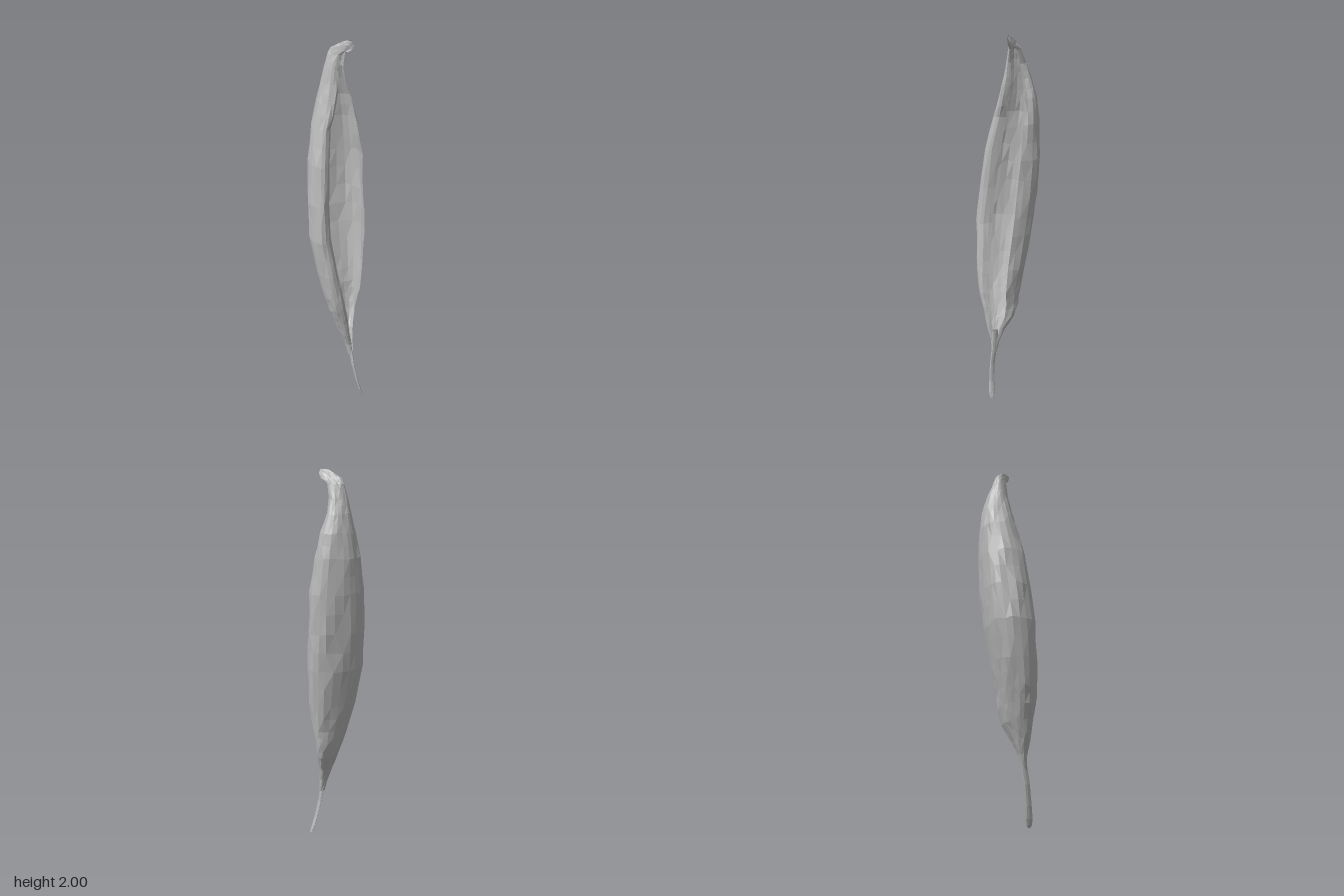
import * as THREE from 'three';

// Blade levels: y, xMin, xMax, zMin, zMax, how far the front flap closes over (0..1)
const bladeRows = [
  [0.27, 0.072, 0.098, 0.036, 0.062, 0.9],
  [0.34, 0.052, 0.092, 0.022, 0.068, 0.9],
  [0.41, 0.026, 0.088, -0.004, 0.090, 0.9],
  [0.50, -0.008, 0.085, -0.052, 0.112, 0.85],
  [0.58, -0.035, 0.092, -0.073, 0.136, 0.65],
  [0.66, -0.062, 0.110, -0.080, 0.150, 0.42],
  [0.80, -0.102, 0.122, -0.104, 0.162, 0.2],
  [1.00, -0.144, 0.122, -0.134, 0.168, 0.04],
  [1.20, -0.158, 0.108, -0.154, 0.152, 0.03],
  [1.40, -0.157, 0.093, -0.165, 0.124, 0.05],
  [1.58, -0.150, 0.064, -0.157, 0.078, 0.1],
  [1.70, -0.126, 0.032, -0.142, 0.044, 0.45],
  [1.79, -0.104, 0.004, -0.114, 0.020, 0.8],
  [1.86, -0.086, 0.000, -0.086, 0.008, 0.8],
  [1.93, -0.067, 0.014, -0.064, -0.006, 0.7],
  [1.955, -0.050, 0.052, -0.047, -0.010, 0.6],
  [1.98, -0.014, 0.066, -0.034, -0.012, 0.6],
  [2.00, 0.034, 0.060, -0.024, -0.016, 0.6],
];

const stemRows = [
  [0.00, 0.151, 0.157, 0.040, 0.046, 0],
  [0.012, 0.141, 0.158, 0.034, 0.056, 0],
  [0.04, 0.129, 0.153, 0.034, 0.064, 0],
  [0.10, 0.113, 0.136, 0.043, 0.067, 0],
  [0.20, 0.090, 0.114, 0.046, 0.068, 0],
  [0.30, 0.070, 0.097, 0.034, 0.061, 0],
  [0.40, 0.058, 0.086, 0.032, 0.060, 0],
];

// Curled section in a -1..1 box: front rim, flap, left side, back, back rim
const curl = (c) => [
  [c - 0.1, 0.42], [c + 0.05, 0.76], [-0.14 + 0.5 * c, 1], [-0.64, 0.82], [-0.97, 0.3],
  [-0.95, -0.16], [-0.6, -0.6], [0.08, -1], [0.66, -0.94], [1, -0.5],
];
// Flattened stem section, wide along the x = z diagonal
const strip = () => Array.from({ length: 9 }, (_, i) => {
  const a = (i / 8) * Math.PI * 2;
  return [Math.cos(a - 0.35), Math.cos(a + 0.35)];
});

// Small seeded noise for dry, uneven facets
let seed = 11;
const noise = () => {
  seed = (seed * 16807) % 2147483647;
  return seed / 2147483647 - 0.5;
};

// Skin a sheet through the section fitted into each level's box
function sheet(rows, section, columns, steps, wrinkle) {
  const position = [], index = [];
  const levels = (rows.length - 1) * steps;
  for (let i = 0; i <= levels; i++) {
    const k = Math.min(Math.floor(i / steps), rows.length - 2);
    const t = i / steps - k;
    const [y, x0, x1, z0, z1, c] = rows[k].map((v, n) => v + (rows[k + 1][n] - v) * t);
    const curve = new THREE.SplineCurve(section(c).map((p) => new THREE.Vector2(...p)));
    for (let j = 0; j <= columns; j++) {
      const p = curve.getPoint(j / columns);
      // shallow slanting creases
      const fold = 1 + wrinkle * (Math.sin(j * 1.9 + y * 16) * 0.5 + noise());
      const lift = i > 0 && i < levels ? noise() * wrinkle * 0.3 : 0;
      position.push(
        (x0 + x1) / 2 + (p.x * fold * (x1 - x0)) / 2,
        y + lift,
        (z0 + z1) / 2 + (p.y * fold * (z1 - z0)) / 2,
      );
      if (i < levels && j < columns) {
        const a = i * (columns + 1) + j, b = a + columns + 1;
        if ((i + j) % 2) index.push(a, a + 1, b, a + 1, b + 1, b);
        else index.push(a, a + 1, b + 1, a, b + 1, b);
      }
    }
  }
  const geometry = new THREE.BufferGeometry();
  geometry.setAttribute('position', new THREE.Float32BufferAttribute(position, 3));
  geometry.setIndex(index);
  geometry.computeVertexNormals();
  return geometry;
}

export function createModel() {
  const group = new THREE.Group();
  group.name = 'curledLeaf';
  const leafGrey = new THREE.MeshStandardMaterial({
    color: 0xb8b8b8, flatShading: true, side: THREE.DoubleSide,
  });
  leafGrey.name = 'leafGrey';
  const add = (name, geometry) => {
    const mesh = new THREE.Mesh(geometry, leafGrey);
    mesh.name = name;
    group.add(mesh);
  };

  add('blade', sheet(bladeRows, curl, 22, 2, 0.035));
  add('stem', sheet(stemRows, strip, 8, 2, 0));
  return group;
}
